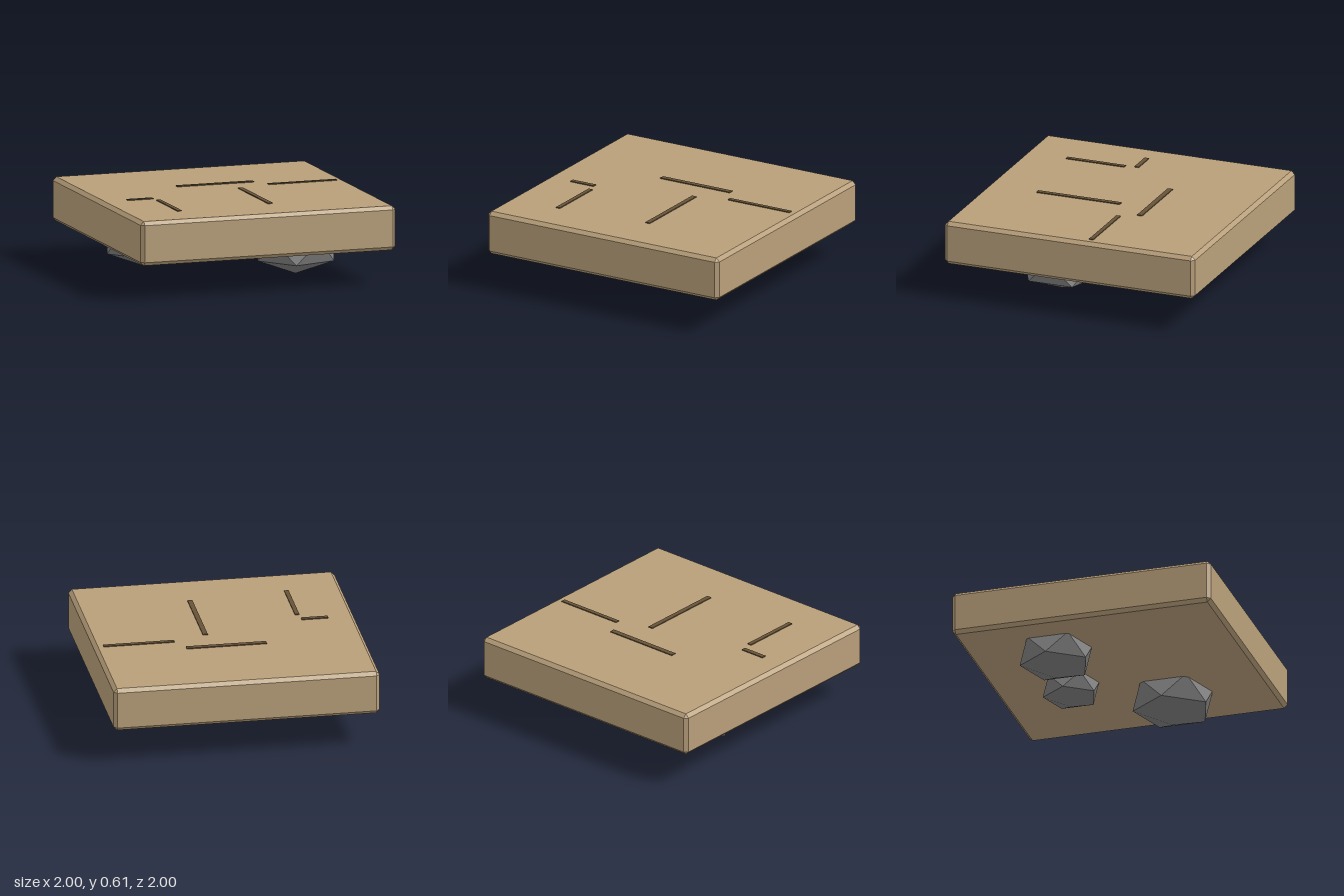
import * as THREE from 'three';
import { ConvexGeometry } from 'three/addons/geometries/ConvexGeometry.js';

const flat = (color) => new THREE.MeshStandardMaterial({ color, flatShading: true });

// Box with every edge cut at 45 degrees
function chamferedBox(w, h, d, c) {
  const points = [];
  for (const sx of [-1, 1]) for (const sy of [-1, 1]) for (const sz of [-1, 1]) {
    const x = sx * w / 2, y = sy * h / 2, z = sz * d / 2;
    points.push(
      new THREE.Vector3(x, y - sy * c, z - sz * c),
      new THREE.Vector3(x - sx * c, y, z - sz * c),
      new THREE.Vector3(x - sx * c, y - sy * c, z));
  }
  return new ConvexGeometry(points);
}

// Icosahedron standing on one corner, squashed in height
function rockGeometry(r) {
  const squash = 0.6, ringY = r / Math.sqrt(5), ringR = 2 * ringY;
  const points = [new THREE.Vector3(0, r * squash, 0), new THREE.Vector3(0, -r * squash, 0)];
  for (let i = 0; i < 5; i++) {
    const a = i * Math.PI * 2 / 5;
    const x = Math.cos(a) * ringR, z = Math.sin(a) * ringR;
    points.push(new THREE.Vector3(x, ringY * squash, z), new THREE.Vector3(-x, -ringY * squash, z));
  }
  return new ConvexGeometry(points);
}

export function createModel() {
  const group = new THREE.Group();
  const add = (name, geometry, material, x, y, z) => {
    const mesh = new THREE.Mesh(geometry, material);
    mesh.name = name;
    mesh.position.set(x, y, z);
    group.add(mesh);
  };

  // Ground slab
  add('slab', chamferedBox(2, 0.333, 2, 0.027), flat(0xb89f7a), 0, 0.4335, 0);

  // Cracks on the top face: x, z, width, depth
  const crackMaterial = flat(0x665238);
  [
    [0.033, -0.293, 0.6, 0.04],
    [0.667, -0.152, 0.533, 0.033],
    [0.152, 0.266, 0.037, 0.667],
    [-0.7, 0.113, 0.2, 0.035],
    [-0.584, 0.432, 0.033, 0.465],
  ].forEach(([x, z, w, d], i) =>
    add(`crack${i + 1}`, new THREE.BoxGeometry(w, 0.014, d), crackMaterial, x, 0.6, z));

  // Rocks half sunk into the underside: x, z, radius
  const rockMaterial = flat(0x808080);
  [
    [0.467, 0.267, 0.333],
    [-0.533, -0.333, 0.3],
    [0.067, -0.4, 0.233],
  ].forEach(([x, z, r], i) =>
    add(`rock${i + 1}`, rockGeometry(r), rockMaterial, x, 0.2, z));

  return group;
}
